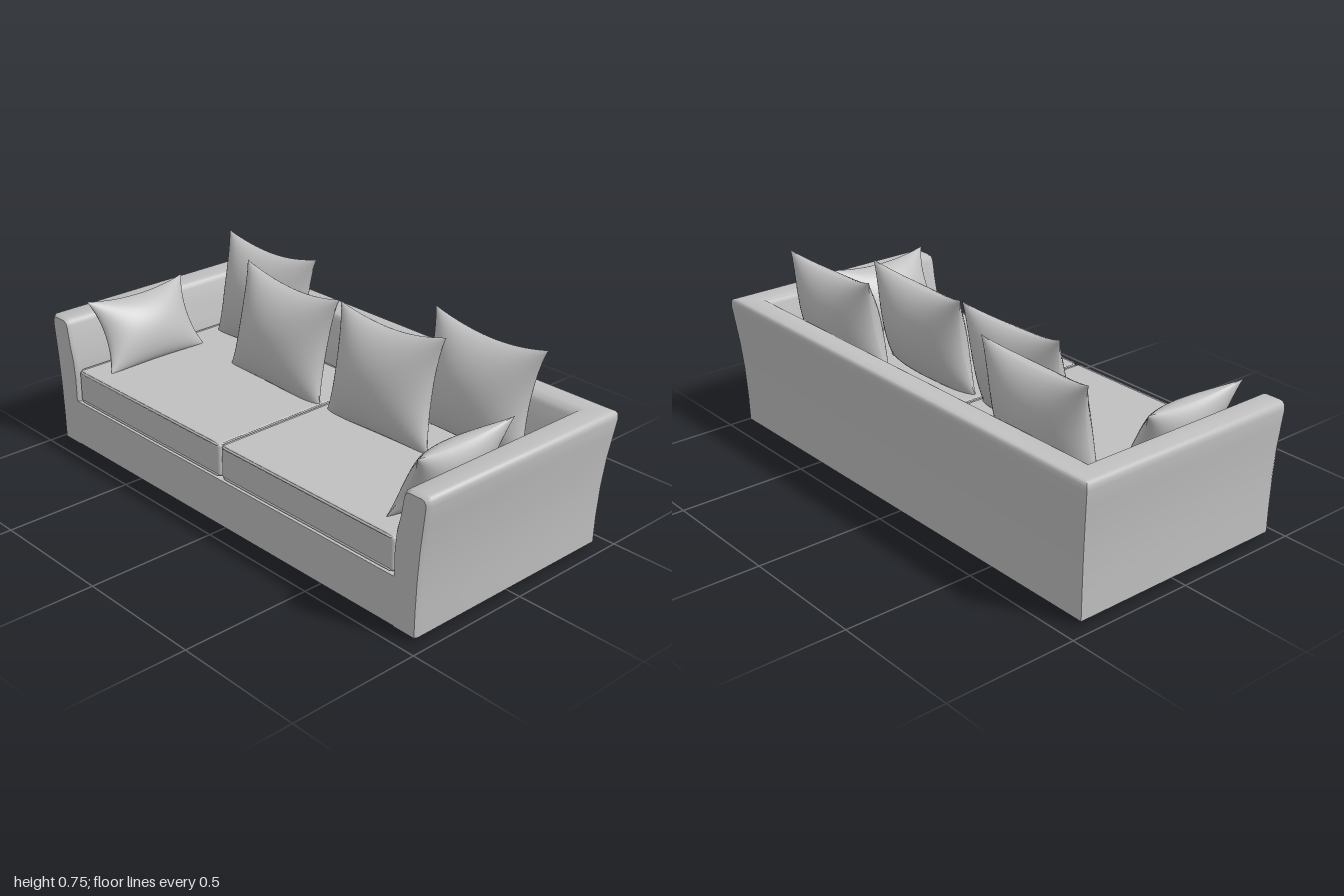
import * as THREE from 'three';
import { mergeGeometries, toCreasedNormals } from 'three/addons/utils/BufferGeometryUtils.js';
import { RoundedBoxGeometry } from 'three/addons/geometries/RoundedBoxGeometry.js';

const fabric = new THREE.MeshStandardMaterial({ color: 0xc0c0c0 });
fabric.name = 'grey fabric';

function add(parent, name, geometry, x = 0, y = 0, z = 0) {
  const mesh = new THREE.Mesh(geometry, fabric);
  mesh.name = name;
  mesh.position.set(x, y, z);
  parent.add(mesh);
  return mesh;
}

// Flared wall section: outward offset and height, from outer foot over the top to inner foot
const wall = [
  [0, 0.02], [0.002, 0.12], [0.008, 0.24], [0.018, 0.35], [0.03, 0.44], [0.038, 0.5],
  [0.037, 0.517], [0.03, 0.527], [0.018, 0.531], [-0.04, 0.531], [-0.054, 0.528],
  [-0.064, 0.52], [-0.07, 0.505], [-0.083, 0.44], [-0.102, 0.37], [-0.11, 0.3], [-0.11, 0.02],
];
const inset = wall.map(([d, y]) => [-0.035 + (d + 0.035) * 0.84, y - 0.018 * y]);
const armX = (d) => 0.96 + d;
const backZ = (d) => -(0.43 + d * (d > 0 ? 0.75 : 1.15));

// Arms and back as one section swept round a U with mitred corners
function shellGeometry() {
  const stations = [
    [1, inset, 0.452], [1, wall, 0.438], [1, wall, null],
    [-1, wall, null], [-1, wall, 0.438], [-1, inset, 0.452],
  ];
  const n = wall.length;
  const positions = [];
  const index = [];
  stations.forEach(([side, section, z], i) => {
    section.forEach(([d, y], j) => {
      positions.push(side * armX(d), y, z === null ? backZ(d) : z);
      if (i === stations.length - 1) return;
      const a = i * n + j;
      const c = i * n + ((j + 1) % n);
      index.push(a, a + n, c, c, a + n, c + n);
    });
  });
  const g = new THREE.BufferGeometry();
  g.setAttribute('position', new THREE.Float32BufferAttribute(positions, 3));
  g.setIndex(index);
  return toCreasedNormals(g, 0.9);
}

// Plump square pillow with drawn-in edges and pointed corners
function pillowGeometry(w, h, t) {
  const half = new THREE.PlaneGeometry(2, 2, 28, 28);
  const p = half.attributes.position;
  for (let i = 0; i < p.count; i++) {
    const u = Math.sin(p.getX(i) * Math.PI / 2);
    const v = Math.sin(p.getY(i) * Math.PI / 2);
    const pinch = v < 0 ? 0.04 : 0.17;
    p.setXYZ(i,
      w / 2 * u * (1 - 0.15 * (1 - v * v)),
      h / 2 * v * (1 - pinch * (1 - u * u)),
      t / 2 * Math.pow(Math.max(0, (1 - u * u) * (1 - v * v)), 0.58));
  }
  half.computeVertexNormals();
  const back = half.clone().rotateY(Math.PI);
  return mergeGeometries([half, back]);
}

// Rectangular loop of piping in the xz plane
function pipingGeometry(w, d, r) {
  const c = 0.015;
  const path = new THREE.CurvePath();
  const x = w / 2, z = d / 2;
  const pts = [[x - c, z], [x, z - c], [x, c - z], [x - c, -z], [c - x, -z], [-x, c - z], [-x, z - c], [c - x, z]]
    .map(([a, b]) => new THREE.Vector3(a, 0, b));
  pts.forEach((q, i) => path.add(new THREE.LineCurve3(q, pts[(i + 1) % pts.length])));
  return new THREE.TubeGeometry(path, 120, r, 6, true);
}

export function createModel() {
  const sofa = new THREE.Group();
  sofa.name = 'sofa';

  // Frame
  add(sofa, 'armsAndBack', shellGeometry());
  const cap = new THREE.Shape(inset.map(([d, y]) => new THREE.Vector2(armX(d), y)));
  const capMirror = new THREE.Shape(inset.map(([d, y]) => new THREE.Vector2(-armX(d), y)));
  add(sofa, 'leftArmFront', new THREE.ShapeGeometry(cap), 0, 0, 0.452);
  add(sofa, 'rightArmFront', new THREE.ShapeGeometry(capMirror), 0, 0, 0.452);
  add(sofa, 'base', new THREE.BoxGeometry(1.88, 0.182, 0.872), 0, 0.113, 0.016);

  // Seat cushions with piping
  for (const side of [1, -1]) {
    const seat = new THREE.Group();
    seat.name = side > 0 ? 'leftSeatCushion' : 'rightSeatCushion';
    seat.position.set(side * 0.426, 0.27, 0.07);
    add(seat, 'cushion', new RoundedBoxGeometry(0.846, 0.13, 0.748, 3, 0.014));
    for (const y of [0.06, -0.058]) add(seat, 'piping', pipingGeometry(0.842, 0.744, 0.005), 0, y, 0);
    sofa.add(seat);
  }

  // Loose back pillows, leaning backwards
  const large = pillowGeometry(0.51, 0.42, 0.225);
  const backPillows = [
    ['rightRearPillow', -0.56, 0.537, -0.25, 0.02], ['leftRearPillow', 0.56, 0.537, -0.25, -0.02],
    ['rightFrontPillow', -0.255, 0.527, -0.075, -0.03], ['leftFrontPillow', 0.275, 0.527, -0.075, 0.03],
  ];
  for (const [name, x, y, z, roll] of backPillows) {
    add(sofa, name, large, x, y, z).rotation.set(-0.2, 0, roll);
  }

  // Small pillows resting against the arms
  const small = pillowGeometry(0.45, 0.29, 0.15);
  for (const side of [1, -1]) {
    const holder = new THREE.Group();
    holder.name = side > 0 ? 'leftArmPillow' : 'rightArmPillow';
    holder.position.set(side * 0.805, 0.46, 0.147);
    holder.rotation.y = -side * Math.PI / 2;
    add(holder, 'pillow', small).rotation.x = -0.47;
    sofa.add(holder);
  }

  // Feet
  const foot = new THREE.CylinderGeometry(0.028, 0.028, 0.03, 24);
  for (const [x, z] of [[0.905, -0.362], [0, -0.362], [-0.905, 0.388]]) add(sofa, 'foot', foot, x, 0.015, z);

  return sofa;
}
